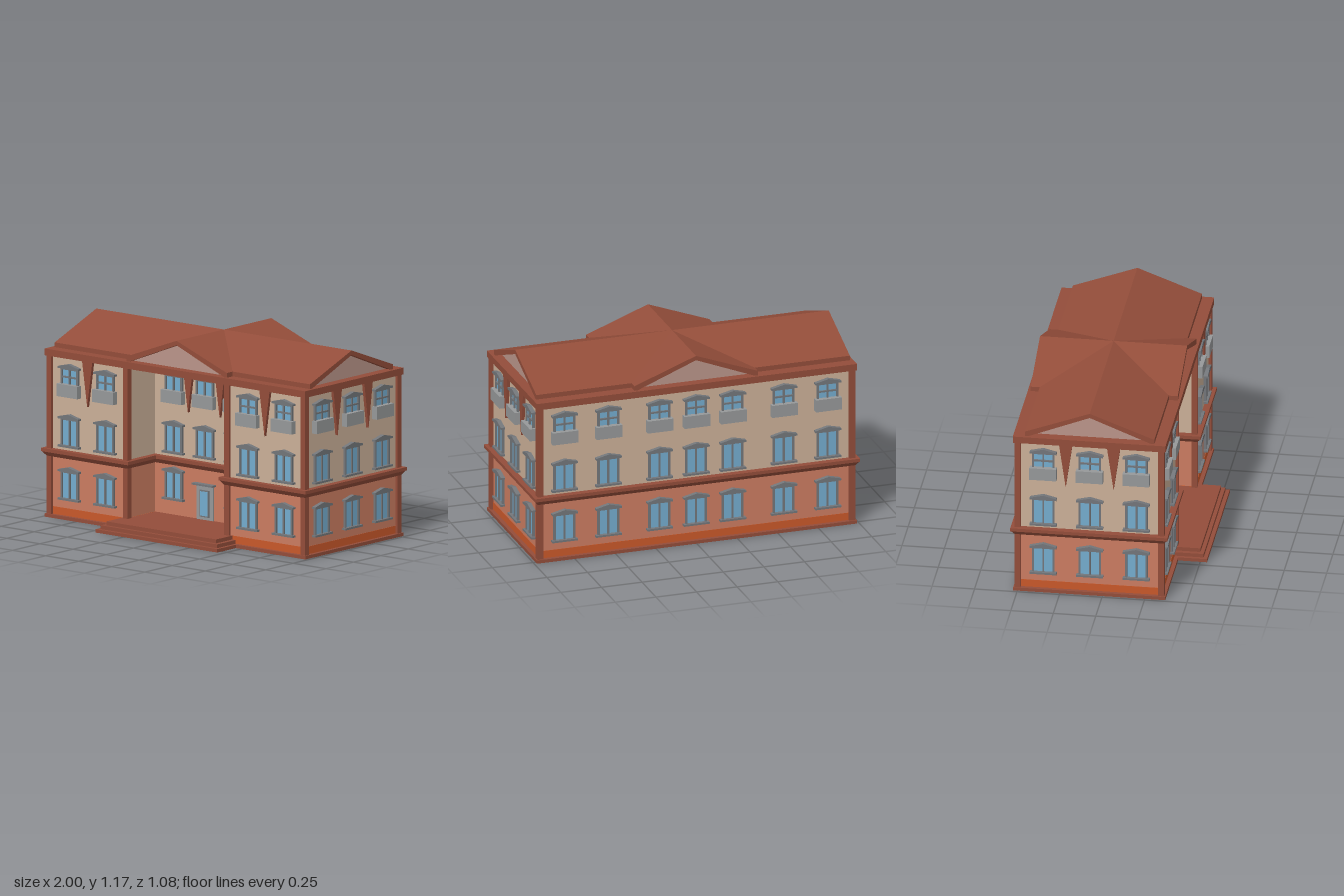
import * as THREE from 'three';

const material = (name, color) => {
  const m = new THREE.MeshStandardMaterial({ color });
  m.name = name;
  return m;
};

export function createModel() {
  const trim = material('brown trim', 0x934d3a);
  const brick = material('salmon wall', 0xcb7c61);
  const plaster = material('tan wall', 0xcbb098);
  const orange = material('orange plinth', 0xc9582a);
  const stone = material('dark grey stone', 0x73767a);
  const concrete = material('balcony grey', 0x969899);
  const glass = material('blue glass', 0x74acce);
  const gablePink = material('gable pink', 0xba958a);

  const model = new THREE.Group();
  model.name = 'building';

  const add = (parent, name, geometry, mat, x = 0, y = 0, z = 0) => {
    const mesh = new THREE.Mesh(geometry, mat);
    mesh.name = name;
    mesh.position.set(x, y, z);
    parent.add(mesh);
    return mesh;
  };
  // box given by its limits
  const block = (parent, name, mat, x0, x1, y0, y1, z0, z1) =>
    add(parent, name, new THREE.BoxGeometry(x1 - x0, y1 - y0, z1 - z0), mat,
      (x0 + x1) / 2, (y0 + y1) / 2, (z0 + z1) / 2);
  const polygon = (pts) => new THREE.Shape(pts.map(([x, y]) => new THREE.Vector2(x, y)));
  const extrude = (pts, depth) =>
    new THREE.ExtrudeGeometry(polygon(pts), { depth, bevelEnabled: false });

  // wall lines of the plan, with an entrance recess in the front
  const SIDE = 0.96, FRONT = 0.345, BACK = -0.5, NOTCH = 0.383, RECESS = 0.09;

  // one storey-like layer of the U-shaped plan, optionally flared towards the top
  const layer = (name, mat, o, y0, y1, flare = 0) => {
    const s = SIDE + o, f = -(FRONT + o), b = -(BACK - o), n = NOTCH - o, r = -(RECESS + o);
    const g = extrude([[-s, f], [-n, f], [-n, r], [n, r], [n, f], [s, f], [s, b], [-s, b]], y1 - y0);
    g.rotateX(-Math.PI / 2);
    const p = g.attributes.position;
    for (let i = 0; flare && i < p.count; i++) {
      if (p.getY(i) < 0.001) continue;
      const x = p.getX(i), z = p.getZ(i);
      p.setX(i, x + Math.sign(x) * (Math.abs(x) > 0.6 ? flare : -flare));
      p.setZ(i, z + (z < -0.3 ? -flare : flare));
    }
    g.computeVertexNormals();
    add(model, name, g, mat, 0, y0, 0);
  };
  layer('base', trim, 0.025, 0, 0.02);
  layer('plinth', orange, 0.002, 0.02, 0.065);
  layer('lowerWall', brick, 0, 0.02, 0.38);
  layer('upperWall', plaster, 0, 0.38, 0.97);
  layer('beltMoulding', trim, 0.017, 0.363, 0.39, 0.02);
  layer('beltCourse', trim, 0.04, 0.39, 0.41);
  block(model, 'cornice', trim, -0.985, 0.985, 0.96, 1.0, -0.527, 0.372);

  // corner pilasters
  for (const sx of [-1, 1]) {
    for (const [x, z] of [[SIDE, FRONT], [SIDE, BACK], [NOTCH, FRONT]]) {
      const c = 0.0175;
      block(model, 'pilaster', trim, sx * x - c, sx * x + c, 0.02, 0.965, z - c, z + c);
    }
  }

  // entrance floor and steps
  block(model, 'porchFloor', trim, -0.38, 0.38, 0, 0.065, 0.085, 0.38);
  [[0.46, 0, 0.02, 0.54], [0.44, 0.02, 0.042, 0.517], [0.415, 0.042, 0.065, 0.495]].forEach(
    ([w, y0, y1, z]) => block(model, 'step', trim, -w, w, y0, y1, 0.34, z));

  // two crossing gable roofs with recessed gable ends
  const roof = (name, length) => {
    const group = new THREE.Group();
    group.name = name;
    const shell = extrude([[-0.38, 1], [-0.36, 1], [0, 1.143], [0.36, 1], [0.38, 1],
      [0.38, 1.028], [0, 1.17], [-0.38, 1.028]], length);
    add(group, 'roofSlopes', shell, trim, 0, 0, -length / 2);
    for (const s of [-1, 1]) {
      add(group, 'gablePanel', extrude([[-0.365, 0.998], [0.365, 0.998], [0, 1.146]], 0.008),
        gablePink, 0, 0, s * (length / 2 - 0.045) - 0.004);
    }
    group.position.z = -0.077;
    model.add(group);
    return group;
  };
  roof('crossRoof', 0.866);
  roof('mainRoof', 1.93).rotation.y = Math.PI / 2;

  // window facing +z; y0 and y1 limit the glass
  const makeWindow = (y0, y1, { sill = true, hood = true, balcony = false, crossbar = false } = {}) => {
    const g = new THREE.Group();
    g.name = 'window';
    block(g, 'pane', glass, -0.06, 0.06, y0, y1, -0.004, 0.004);
    for (const [x, w] of [[-0.06, 0.006], [0, 0.005], [0.06, 0.006]]) {
      block(g, 'frameBar', stone, x - w, x + w, y0, y1, -0.004, 0.014);
    }
    block(g, 'frameTop', stone, -0.066, 0.066, y1 - 0.005, y1 + 0.004, -0.004, 0.014);
    if (crossbar) {
      const m = (y0 + y1) / 2;
      block(g, 'crossbar', stone, -0.06, 0.06, m - 0.005, m + 0.005, -0.004, 0.014);
    }
    if (sill) block(g, 'sill', stone, -0.079, 0.079, y0 - 0.012, y0, -0.004, 0.026);
    if (hood) {
      add(g, 'hood', extrude([[-0.079, 0], [0.079, 0], [0.079, 0.011], [0, 0.03], [-0.079, 0.011]], 0.03),
        stone, 0, y1 + 0.002, -0.004);
    }
    if (balcony) block(g, 'balcony', concrete, -0.079, 0.079, 0.731, 0.806, -0.004, 0.035);
    return g;
  };
  // pointed hanging banner under the cornice
  const makeBanner = () => {
    const g = new THREE.Group();
    g.name = 'banner';
    add(g, 'bannerPoint', extrude([[-0.039, 0.962], [0, 0.69], [0.039, 0.962]], 0.02), trim, 0, 0, -0.002);
    return g;
  };
  const place = (part, x, z, turn = 0) => {
    part.position.set(x, 0, z);
    part.rotation.y = turn;
    model.add(part);
  };
  const windowColumn = (x, z, turn) => {
    place(makeWindow(0.127, 0.282), x, z, turn);
    place(makeWindow(0.442, 0.596), x, z, turn);
    place(makeWindow(0.80, 0.895, { sill: false, balcony: true, crossbar: true }), x, z, turn);
  };

  // front wings and back
  for (const x of [-0.81, -0.54, 0.54, 0.81]) windowColumn(x, FRONT, 0);
  for (const x of [-0.81, -0.54, -0.225, 0, 0.225, 0.54, 0.81]) windowColumn(x, BACK, Math.PI);
  // both ends
  for (const s of [-1, 1]) {
    for (const dz of [-0.274, 0, 0.274]) windowColumn(s * SIDE, -0.076 + dz, s * Math.PI / 2);
    for (const z of [0.065, -0.217]) place(makeBanner(), s * SIDE, z, s * Math.PI / 2);
    place(makeBanner(), s * 0.67, FRONT);
    place(makeBanner(), s * 0.12, RECESS);
  }
  // entrance recess
  for (const x of [-0.235, 0, 0.235]) {
    if (x) place(makeWindow(0.165, 0.32), x, RECESS);
    place(makeWindow(0.442, 0.596), x, RECESS);
    place(makeWindow(0.80, 0.89, { sill: false, hood: false, balcony: true }), x, RECESS);
  }

  // front door
  const door = new THREE.Group();
  door.name = 'door';
  block(door, 'doorSurround', concrete, -0.062, 0.062, 0.06, 0.27, -0.004, 0.008);
  block(door, 'doorFrame', stone, -0.034, 0.034, 0.082, 0.242, 0, 0.014);
  block(door, 'doorGlass', glass, -0.027, 0.027, 0.09, 0.234, 0.01, 0.017);
  block(door, 'doorCanopy', stone, -0.079, 0.079, 0.27, 0.281, -0.004, 0.035);
  place(door, 0, RECESS);

  return model;
}
